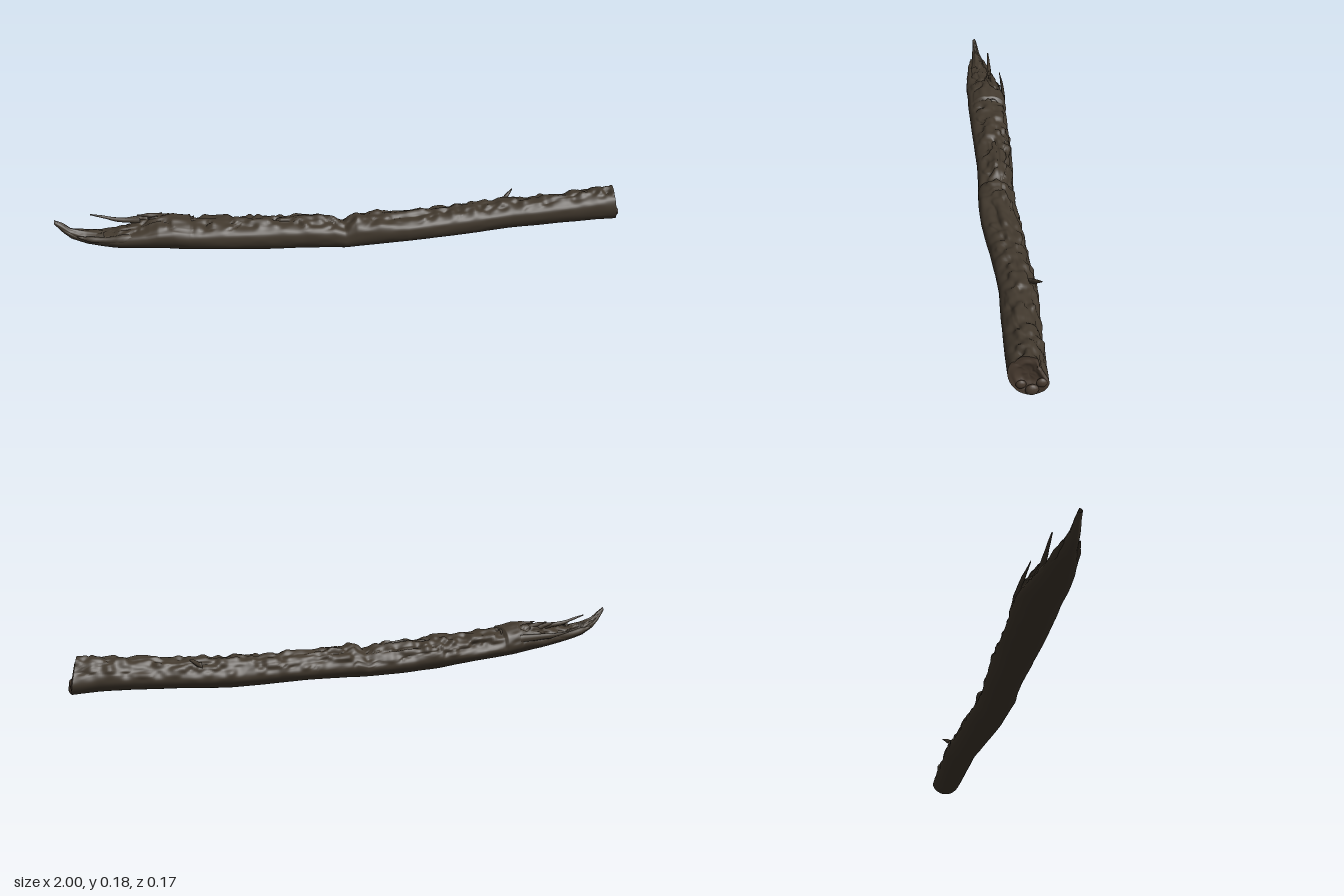
import * as THREE from 'three';

const bark = new THREE.MeshStandardMaterial({ color: 0x42392e, side: THREE.DoubleSide });
bark.name = 'dark bark';
const wood = new THREE.MeshStandardMaterial({ color: 0x46392e, side: THREE.DoubleSide });
wood.name = 'weathered wood';

// Trunk stations: x, bottom, top, back z, front z
const stations = [
  [-1.0, 0.175, 0.19, 0.0, 0.014], [-0.975, 0.14, 0.178, -0.008, 0.016],
  [-0.95, 0.115, 0.158, -0.012, 0.018], [-0.9, 0.092, 0.143, -0.028, 0.027],
  [-0.85, 0.082, 0.138, -0.042, 0.042], [-0.8, 0.073, 0.14, -0.052, 0.053],
  [-0.75, 0.066, 0.15, -0.065, 0.058], [-0.7, 0.06, 0.157, -0.078, 0.062],
  [-0.66, 0.056, 0.168, -0.083, 0.064], [-0.61, 0.05, 0.168, -0.084, 0.064],
  [-0.56, 0.045, 0.155, -0.082, 0.066], [-0.46, 0.035, 0.15, -0.079, 0.067],
  [-0.3, 0.021, 0.145, -0.074, 0.066], [-0.16, 0.013, 0.14, -0.067, 0.067],
  [-0.06, 0.01, 0.132, -0.056, 0.073], [-0.02, 0.01, 0.113, -0.052, 0.078],
  [0.02, 0.011, 0.137, -0.05, 0.082], [0.1, 0.014, 0.14, -0.05, 0.085],
  [0.2, 0.017, 0.13, -0.052, 0.085], [0.35, 0.018, 0.132, -0.055, 0.073],
  [0.48, 0.021, 0.136, -0.059, 0.066], [0.58, 0.028, 0.142, -0.06, 0.065],
  [0.66, 0.033, 0.146, -0.051, 0.07], [0.8, 0.04, 0.156, -0.042, 0.076],
  [0.9, 0.043, 0.168, -0.038, 0.08], [0.975, 0.04, 0.166, -0.036, 0.08],
];

const smooth = (a, b, v) => THREE.MathUtils.smoothstep(v, a, b);
const hash = (i, j) => {
  const s = Math.sin(i * 127.1 + j * 311.7) * 43758.5453;
  return s - Math.floor(s);
};
// Value noise that wraps round the trunk
function noise(u, v, period) {
  const i = Math.floor(u), j = Math.floor(v);
  const f = smooth(0, 1, u - i), g = smooth(0, 1, v - j);
  const h = (p, q) => hash(p, ((q % period) + period) % period);
  const lerp = THREE.MathUtils.lerp;
  return lerp(lerp(h(i, j), h(i + 1, j), f), lerp(h(i, j + 1), h(i + 1, j + 1), f), g);
}

function section(x) {
  let k = 0;
  while (k < stations.length - 2 && stations[k + 1][0] < x) k++;
  const a = stations[k], b = stations[k + 1];
  const t = (x - a[0]) / (b[0] - a[0]);
  return a.map((v, n) => v + (b[n] - v) * t);
}

// Closed tube of rings; point(row 0..1, angle) gives each vertex
function rings(rows, cols, point) {
  const pos = [], index = [];
  for (let i = 0; i <= rows; i++) {
    for (let j = 0; j < cols; j++) {
      pos.push(...point(i / rows, (j / cols) * Math.PI * 2));
      if (i === rows) continue;
      const p = i * cols + j, q = i * cols + (j + 1) % cols;
      index.push(p, q, p + cols, q, q + cols, p + cols);
    }
  }
  const g = new THREE.BufferGeometry();
  g.setAttribute('position', new THREE.Float32BufferAttribute(pos, 3));
  g.setIndex(index);
  g.computeVertexNormals();
  return g;
}

function trunkPoint(x, a, scale = 1) {
  const [, lo, hi, back, front] = section(x);
  const turn = a / (Math.PI * 2);
  const upper = smooth(-0.1, 0.7, Math.cos(a + 0.35));
  // Long bark furrows, finer cracks on top, and torn wood at the broken end
  let r = 1 + 0.05 * (noise(x * 7, turn * 9, 9) - 0.5);
  r -= (0.02 + 0.06 * upper) * noise(x * 22, turn * 24, 24);
  const crack = Math.abs(noise(x * 9 + 40, turn * 11, 11) - 0.5);
  r -= 0.13 * upper * (1 - smooth(0, 0.07, crack)) * (1 - 0.6 * smooth(-0.1, 0.2, x));
  const torn = smooth(-0.55, -0.74, x) || (1 - smooth(-0.74, -0.55, x));
  r -= 0.28 * upper * torn * noise(x * 38, turn * 16, 16);
  r *= scale;
  const y = (lo + hi) / 2 + (hi - lo) / 2 * r * Math.cos(a) * 1.02;
  const z = (back + front) / 2 + (front - back) / 2 * r * Math.sin(a) * 1.02;
  // Slanting cut at the sound end
  const cut = smooth(0.85, 0.975, x);
  return [x - cut * (0.2 * (z - 0.02) + 0.16 * (y - 0.1)), Math.max(y, 0), z];
}

// Tapered sliver along a few points
function splinter(name, points, radius, flat = 1) {
  const curve = new THREE.CatmullRomCurve3(points.map(p => new THREE.Vector3(...p)));
  const g = rings(14, 8, (t, a) => {
    const c = curve.getPoint(t);
    const r = radius * (1 - 0.85 * t) * (0.75 + 0.5 * noise(t * 7, points[0][0] * 50, 64));
    return [c.x, c.y + r * Math.cos(a), c.z - r * flat * Math.sin(a)];
  });
  const m = new THREE.Mesh(g, bark);
  m.name = name;
  return m;
}

export function createModel() {
  const log = new THREE.Group();
  log.name = 'brokenLog';
  const add = (name, geometry, material) => {
    const m = new THREE.Mesh(geometry, material);
    m.name = name;
    log.add(m);
  };

  add('trunk', rings(360, 72, (t, a) => trunkPoint(-1 + 1.975 * t, a)), bark);

  // Cut face: rough and slightly hollow, with a raised rim
  add('cutEnd', rings(14, 72, (t, a) => {
    const p = trunkPoint(0.975, a, 1 - t);
    const turn = a / (Math.PI * 2);
    const rim = smooth(0, 0.15, t);
    p[0] += rim * (0.012 * (1 - t) * (noise(t * 6, turn * 9, 9) - 0.4) - 0.008 * smooth(0.2, 0.7, t));
    return p;
  }), wood);

  // Knobs on the lower edge of the cut face
  for (const [y, z, r] of [[0.06, 0.015, 0.018], [0.075, 0.045, 0.014], [0.085, -0.012, 0.015]]) {
    const g = new THREE.SphereGeometry(r, 12, 8);
    g.scale(0.6, 1, 1.1);
    g.translate(0.978 - 0.2 * (z - 0.02) - 0.16 * (y - 0.1), y, z);
    add('endKnob', g, wood);
  }

  // Slivers at the broken end
  log.add(
    splinter('tipSplinter', [[-0.84, 0.115, 0.02], [-0.92, 0.12, 0.012], [-0.97, 0.15, 0.01], [-1, 0.188, 0.006]], 0.02),
    splinter('raisedSplinter', [[-0.72, 0.145, -0.03], [-0.8, 0.153, -0.036], [-0.84, 0.165, -0.038], [-0.885, 0.177, -0.04]], 0.013),
    splinter('backSplinter', [[-0.6, 0.115, -0.075], [-0.68, 0.118, -0.08], [-0.74, 0.12, -0.081], [-0.8, 0.127, -0.08]], 0.02, 0.5),
    splinter('frontSplinter', [[-0.74, 0.115, 0.04], [-0.83, 0.115, 0.038], [-0.9, 0.122, 0.03], [-0.93, 0.13, 0.026]], 0.018),
    splinter('lowSplinter', [[-0.74, 0.105, -0.035], [-0.83, 0.105, -0.033], [-0.9, 0.116, -0.025], [-0.93, 0.125, -0.022]], 0.022),
  );

  // Ragged lifted bark along the top near the break
  for (let i = 0; i < 6; i++) {
    const x = -0.5 - i * 0.036, z = -0.045 + 0.06 * hash(i, 3);
    const y = section(x)[2] - 0.014;
    log.add(splinter('liftedBark', [[x, y - 0.008, z], [x - 0.04, y + 0.002, z], [x - 0.085, y + 0.008, z + 0.004]], 0.014, 1.3));
  }

  // Snapped twig at the back
  log.add(splinter('twigStub', [[0.57, 0.11, -0.035], [0.6, 0.132, -0.05], [0.615, 0.142, -0.063]], 0.013));
  return log;
}
